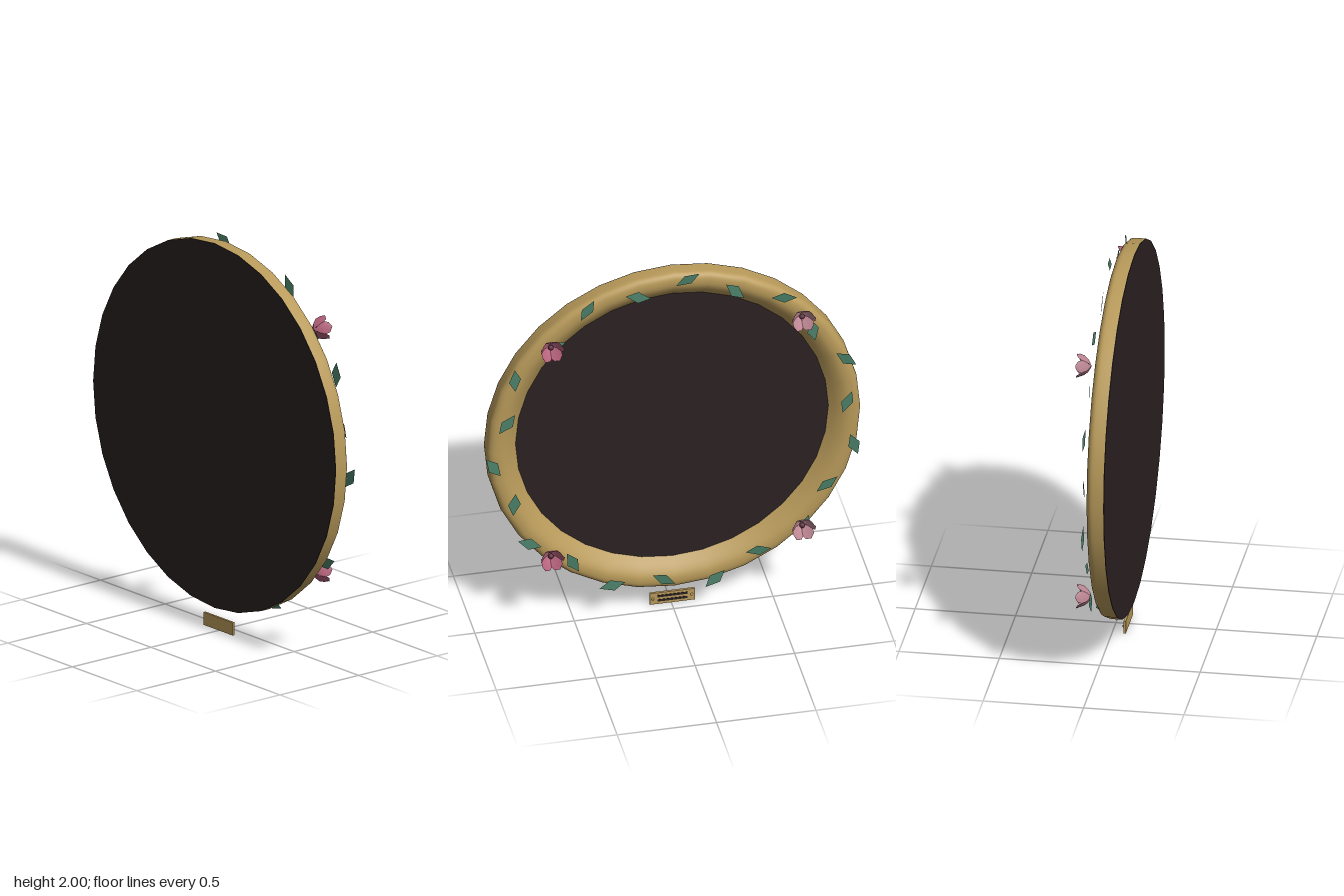
import * as THREE from 'three';

const mat = (name, color, side = THREE.FrontSide) => {
  const m = new THREE.MeshStandardMaterial({ color, side });
  m.name = name;
  return m;
};

export function createModel() {
  const gold = mat('antique gold', 0xb89a5a);
  const dark = mat('dark glass', 0x2c2222);
  const green = mat('leaf green', 0x4b8069, THREE.DoubleSide);
  const rose = mat('rose pink', 0xb3607a, THREE.DoubleSide);
  const dusty = mat('dusty pink', 0xbb8491, THREE.DoubleSide);
  const wine = mat('flower heart', 0x5c3040);

  const model = new THREE.Group();
  model.name = 'ornateRoundMirror';
  const mirror = new THREE.Group();
  mirror.name = 'mirror';
  mirror.position.set(-0.005, 1.06, 0);
  model.add(mirror);

  const add = (parent, name, geometry, material, x = 0, y = 0, z = 0) => {
    const m = new THREE.Mesh(geometry, material);
    m.name = name;
    m.position.set(x, y, z);
    parent.add(m);
    return m;
  };

  // Rounded frame ring; the profile runs from the inner lip over the crest to the outer wall
  const profile = new THREE.SplineCurve([
    [0.772, 0.08], [0.79, 0.062], [0.825, 0.028], [0.86, 0.006], [0.89, 0],
    [0.918, 0.004], [0.936, 0.02], [0.94, 0.045], [0.94, 0.089],
  ].map(([r, h]) => new THREE.Vector2(r, h)));
  add(mirror, 'frame', new THREE.LatheGeometry(profile.getPoints(24), 32).rotateX(Math.PI / 2), gold);

  // Backing board and glass, both discs along z
  const disc = (r, depth) => new THREE.CylinderGeometry(r, r, depth, 32).rotateX(Math.PI / 2);
  add(mirror, 'backing', disc(0.94, 0.004), dark, 0, 0, 0.09);
  add(mirror, 'glass', disc(0.79, 0.024), dark, 0, 0, 0.077);

  // Ring of leaves, alternately leaning outward and inward
  const leafShape = new THREE.Shape([
    [-0.065, 0], [-0.005, -0.031], [0.065, 0], [0.005, 0.031],
  ].map(([x, y]) => new THREE.Vector2(x, y)));
  const leafGeo = new THREE.ShapeGeometry(leafShape);
  const leaves = new THREE.Group();
  leaves.name = 'leaves';
  mirror.add(leaves);
  for (let i = 0; i < 22; i++) {
    const outer = i % 2 === 0;
    const angle = (i / 22) * Math.PI * 2 - 0.075;
    const r = outer ? 0.918 : 0.866;
    const leaf = add(leaves, 'leaf', leafGeo, green, r * Math.cos(angle), r * Math.sin(angle), -0.02);
    leaf.rotation.set(0, 0, angle + Math.PI / 2 + (outer ? -0.52 : 0.45));
    leaf.rotateX(outer ? 0.1 : -0.1);
  }

  // One petal from cross-sections: [radius, z, half width]
  const rows = [[0.005, 0, 0.003], [0.03, -0.016, 0.02], [0.046, -0.04, 0.032], [0.057, -0.06, 0.025], [0.063, -0.07, 0.006]];
  const pos = [], index = [];
  rows.forEach(([r, z, w], i) => {
    pos.push(r * 0.92, -w, z, r, 0, z, r * 0.92, w, z);
    if (i === 0) return;
    for (let k = 0; k < 2; k++) {
      const a = (i - 1) * 3 + k, b = a + 3;
      index.push(a, a + 1, b, a + 1, b + 1, b);
    }
  });
  const petalGeo = new THREE.BufferGeometry();
  petalGeo.setAttribute('position', new THREE.Float32BufferAttribute(pos, 3));
  petalGeo.setIndex(index);
  petalGeo.computeVertexNormals();
  const heartGeo = new THREE.SphereGeometry(0.014, 10, 8);

  // Four open blossoms on the diagonals
  for (const sx of [-1, 1]) {
    for (const sy of [-1, 1]) {
      const flower = new THREE.Group();
      flower.name = 'flower';
      flower.position.set(sx * 0.632, sy * 0.626, -0.02);
      mirror.add(flower);
      for (let k = 0; k < 5; k++) {
        const petal = add(flower, 'petal', petalGeo, sx > 0 ? rose : dusty);
        petal.rotation.z = Math.PI / 2 + (k / 5) * Math.PI * 2;
      }
      add(flower, 'flowerHeart', heartGeo, wine, 0, 0, -0.02);
    }
  }

  // Small plate below, with engraved bars and two screws on its -z face
  const plate = new THREE.Group();
  plate.name = 'plate';
  plate.position.set(-0.005, 0.033, 0);
  model.add(plate);
  add(plate, 'plateBody', new THREE.BoxGeometry(0.226, 0.066, 0.012), gold, 0, 0, 0.062);
  for (const [y, w] of [[0.013, 0.15], [-0.012, 0.15]]) {
    add(plate, 'engravedBar', new THREE.BoxGeometry(w, 0.012, 0.003), dark, 0, y, 0.0555);
  }
  for (const s of [-1, 1]) {
    add(plate, 'screw', new THREE.SphereGeometry(0.007, 10, 8), gold, s * 0.098, 0, 0.056);
  }
  return model;
}
